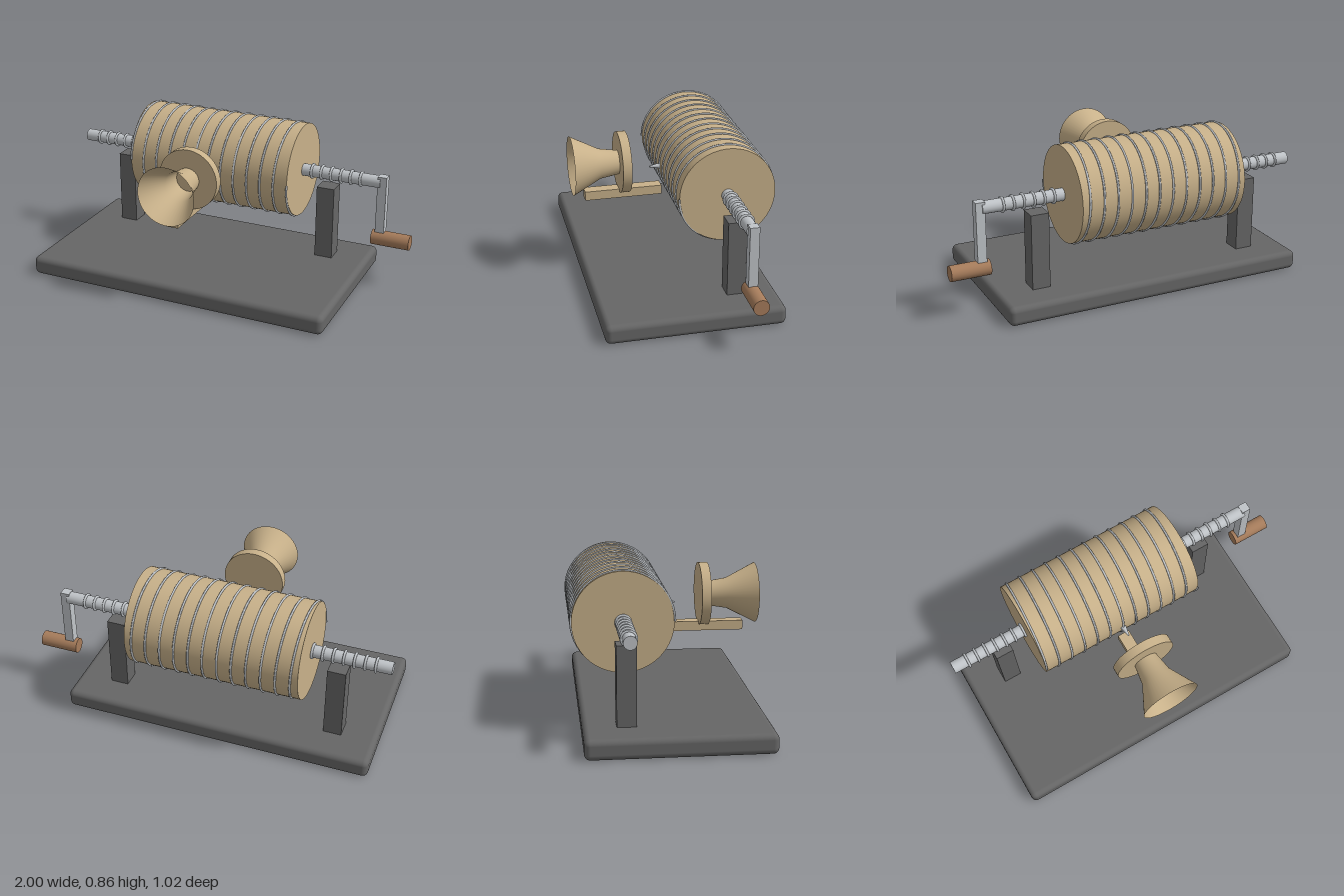
import * as THREE from 'three';
import { RoundedBoxGeometry } from 'three/addons/geometries/RoundedBoxGeometry.js';

const mat = (name, color, side = THREE.FrontSide) => {
  const m = new THREE.MeshStandardMaterial({ color, side });
  m.name = name;
  return m;
};

export function createModel() {
  const iron = mat('dark iron', 0x666666);
  const brass = mat('pale brass', 0xc8b18a, THREE.DoubleSide);
  const steel = mat('steel', 0xc0c4c8);
  const wood = mat('brown wood', 0xa67c5b);

  const model = new THREE.Group();
  model.name = 'cylinderRecorder';
  const add = (name, geometry, material, x, y, z) => {
    const mesh = new THREE.Mesh(geometry, material);
    mesh.name = name;
    mesh.position.set(x, y, z);
    model.add(mesh);
    return mesh;
  };
  const rod = (r, length, sides = 32) =>
    new THREE.CylinderGeometry(r, r, length, sides).rotateZ(-Math.PI / 2);

  const midX = -0.1, axisY = 0.59, axisZ = -0.24;

  // Base plate and the two posts
  add('base', new RoundedBoxGeometry(1.72, 0.105, 0.95, 4, 0.03), iron, midX, 0.0525, 0.015);
  for (const side of [-1, 1]) {
    add(side < 0 ? 'rightPost' : 'leftPost', new THREE.BoxGeometry(0.1, 0.42, 0.1), iron,
      midX + side * 0.62, 0.31, axisZ);
  }

  // Drum with a raised wire spiral of twelve turns
  const drumLength = 0.945, turns = 12;
  add('drum', rod(0.26, drumLength, 64), brass, midX, axisY, axisZ);
  class Spiral extends THREE.Curve {
    getPoint(t, target = new THREE.Vector3()) {
      const a = t * turns * Math.PI * 2;
      return target.set((t - 0.5) * drumLength, 0.262 * Math.sin(a), 0.262 * Math.cos(a));
    }
  }
  add('drumSpiral', new THREE.TubeGeometry(new Spiral(), turns * 48, 0.006, 6), steel, midX, axisY, axisZ);

  // Axle with its thread rings on both ends
  add('axle', rod(0.034, 1.82), steel, -0.09, axisY, axisZ);
  const ring = new THREE.TorusGeometry(0.037, 0.007, 8, 28).rotateY(Math.PI / 2);
  for (const start of [-0.914, 0.428]) {
    const count = start < 0 ? 7 : 6;
    for (let i = 0; i < count; i++) {
      add('threadRing', ring, steel, start + i * 0.056, axisY, axisZ);
    }
  }

  // Crank arm and handle
  add('crankArm', new THREE.BoxGeometry(0.05, 0.325, 0.05), steel, 0.83, 0.4635, axisZ);
  add('crankHandle', rod(0.042, 0.214), wood, 0.893, 0.261, axisZ);

  // Mouthpiece: support bar, round plate and open horn
  add('supportBar', new THREE.BoxGeometry(0.067, 0.051, 0.43), brass, midX, 0.458, 0.232);
  add('soundPlate', new THREE.CylinderGeometry(0.169, 0.169, 0.05, 48).rotateX(Math.PI / 2), brass,
    midX, 0.632, 0.231);
  const profile = [[0.065, 0.25], [0.083, 0.36], [0.163, 0.515]].map(p => new THREE.Vector2(...p));
  add('horn', new THREE.LatheGeometry(profile, 48).rotateX(Math.PI / 2), brass, midX, 0.632, 0);

  // Stylus pointing out from the drum
  add('stylus', new THREE.CylinderGeometry(0.004, 0.018, 0.07, 16).rotateX(Math.PI / 2), steel,
    midX, 0.588, 0.043);

  return model;
}
